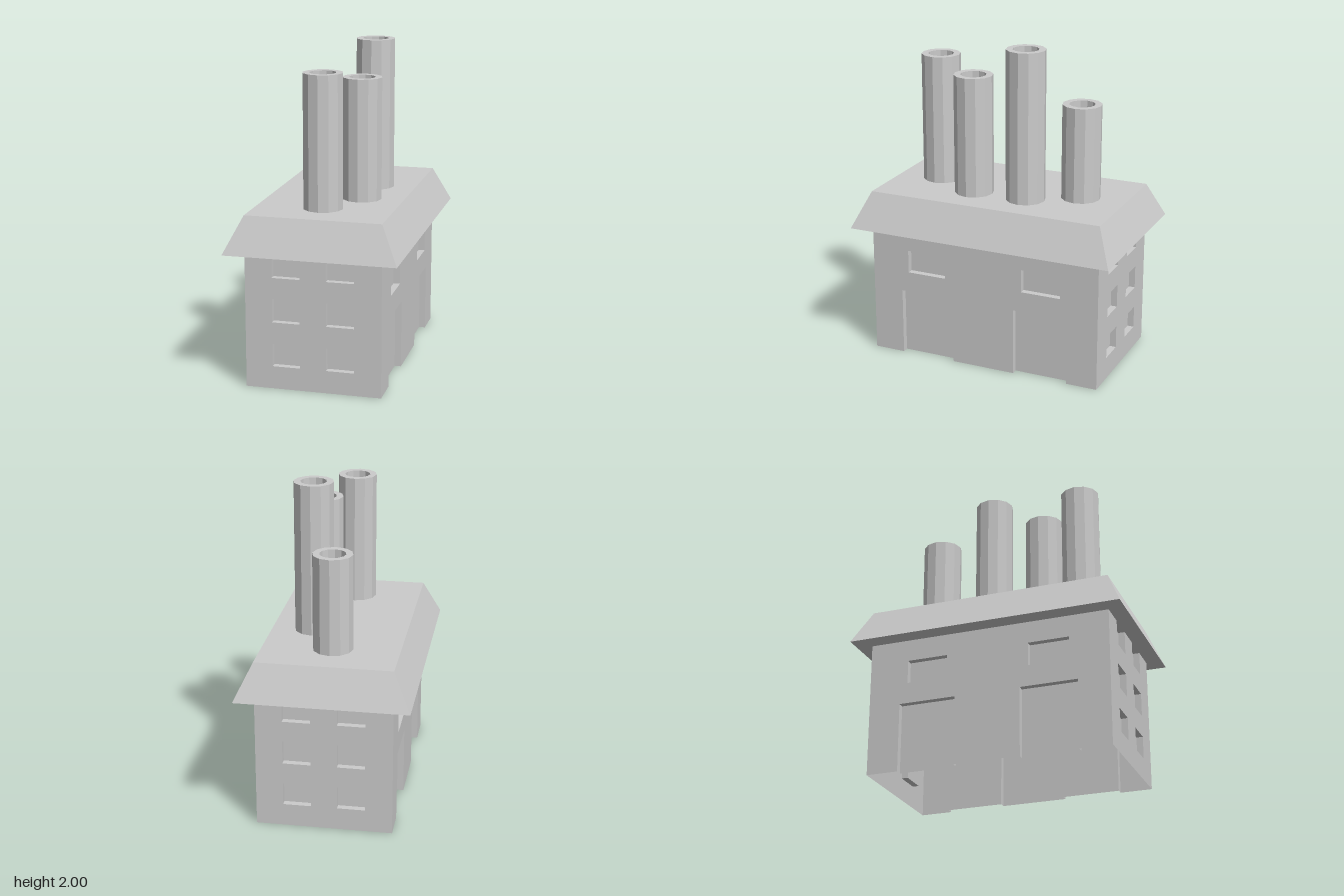
import * as THREE from 'three';
import { mergeGeometries } from 'three/addons/utils/BufferGeometryUtils.js';

const HALF_X = 0.415, HALF_Z = 0.757;   // wall footprint
const EAVES = 0.835, ROOF_TOP = 1.06;
const RECESS = 0.04;

const solid = new THREE.MeshStandardMaterial({ color: 0xcccccc, flatShading: true });
const shell = new THREE.MeshStandardMaterial({ color: 0xcccccc, flatShading: true, side: THREE.DoubleSide });

// Inset back panel and jambs behind an opening; a doorway has no sill.
function recess({ x0, x1, y0, y1 }) {
  const w = x1 - x0, h = y1 - y0, cx = (x0 + x1) / 2, cy = (y0 + y1) / 2, d = RECESS;
  const parts = [
    new THREE.PlaneGeometry(w, h).translate(cx, cy, -d),
    new THREE.PlaneGeometry(d, h).rotateY(Math.PI / 2).translate(x0, cy, -d / 2),
    new THREE.PlaneGeometry(d, h).rotateY(-Math.PI / 2).translate(x1, cy, -d / 2),
    new THREE.PlaneGeometry(w, d).rotateX(Math.PI / 2).translate(cx, y1, -d / 2),
  ];
  if (y0 > 0) parts.push(new THREE.PlaneGeometry(w, d).rotateX(-Math.PI / 2).translate(cx, y0, -d / 2));
  return mergeGeometries(parts);
}

// Thin wall facing +z, with doorways cut from its foot and windows as holes.
function wall(name, half, openings) {
  const top = EAVES + 0.07;   // tucked into the roof
  const shape = new THREE.Shape();
  shape.moveTo(-half, 0);
  for (const o of openings.filter((o) => o.y0 === 0)) {
    shape.lineTo(o.x0, 0);
    shape.lineTo(o.x0, o.y1);
    shape.lineTo(o.x1, o.y1);
    shape.lineTo(o.x1, 0);
  }
  shape.lineTo(half, 0);
  shape.lineTo(half, top);
  shape.lineTo(-half, top);
  shape.closePath();
  for (const o of openings.filter((o) => o.y0 > 0)) {
    shape.holes.push(new THREE.Path([
      new THREE.Vector2(o.x0, o.y0), new THREE.Vector2(o.x0, o.y1),
      new THREE.Vector2(o.x1, o.y1), new THREE.Vector2(o.x1, o.y0),
    ]));
  }
  const geometry = mergeGeometries([new THREE.ShapeGeometry(shape), ...openings.map(recess)]);
  const mesh = new THREE.Mesh(geometry, shell);
  mesh.name = name;
  return mesh;
}

// The same opening on both halves of a wall, left one first.
const pair = (inner, outer, y0, y1) => [
  { x0: -outer, x1: -inner, y0, y1 },
  { x0: inner, x1: outer, y0, y1 },
];

// Hollow twelve-sided stack standing on the roof.
function chimney(x, z, top) {
  const profile = [[0.122, ROOF_TOP], [0.122, top], [0.08, top], [0.08, ROOF_TOP + 0.002], [0, ROOF_TOP + 0.002]];
  const geometry = new THREE.LatheGeometry(profile.map(([r, y]) => new THREE.Vector2(r, y)), 12);
  const mesh = new THREE.Mesh(geometry, solid);
  mesh.position.set(x, 0, z);
  mesh.name = 'chimney';
  return mesh;
}

// Box with its top drawn in to form four sloping sides.
function roof() {
  const geometry = new THREE.BoxGeometry(1.048, ROOF_TOP - EAVES, 1.71);
  const p = geometry.attributes.position;
  for (let i = 0; i < p.count; i++) {
    if (p.getY(i) > 0) {
      p.setX(i, Math.sign(p.getX(i)) * HALF_X);
      p.setZ(i, Math.sign(p.getZ(i)) * HALF_Z);
    }
  }
  geometry.computeVertexNormals();
  const mesh = new THREE.Mesh(geometry, solid);
  mesh.position.y = (EAVES + ROOF_TOP) / 2;
  mesh.name = 'roof';
  return mesh;
}

export function createModel() {
  const model = new THREE.Group();
  model.name = 'factory';

  // End walls: three rows of windows, the top row running up under the eaves
  const endOpenings = [
    ...pair(0.08, 0.25, 0.14, 0.28),
    ...pair(0.08, 0.25, 0.415, 0.56),
    ...pair(0.08, 0.25, 0.69, EAVES + 0.01),
  ];
  // Long walls: two doorways with a window over each
  const sideOpenings = [
    ...pair(0.205, 0.56, 0, 0.425),
    ...pair(0.257, 0.512, 0.555, 0.7),
  ];
  ['frontWall', 'leftWall', 'backWall', 'rightWall'].forEach((name, i) => {
    const isEnd = i % 2 === 0;
    const mesh = wall(name, isEnd ? HALF_X : HALF_Z, isEnd ? endOpenings : sideOpenings);
    mesh.rotation.y = i * Math.PI / 2;
    mesh.translateZ(isEnd ? HALF_Z : HALF_X);
    model.add(mesh);
  });

  model.add(roof());

  // Chimneys, from front to back
  for (const [x, z, top] of [
    [-0.01, 0.474, 1.875], [0.155, 0.174, 1.81], [0.155, -0.173, 2], [-0.01, -0.472, 1.655],
  ]) model.add(chimney(x, z, top));

  return model;
}
